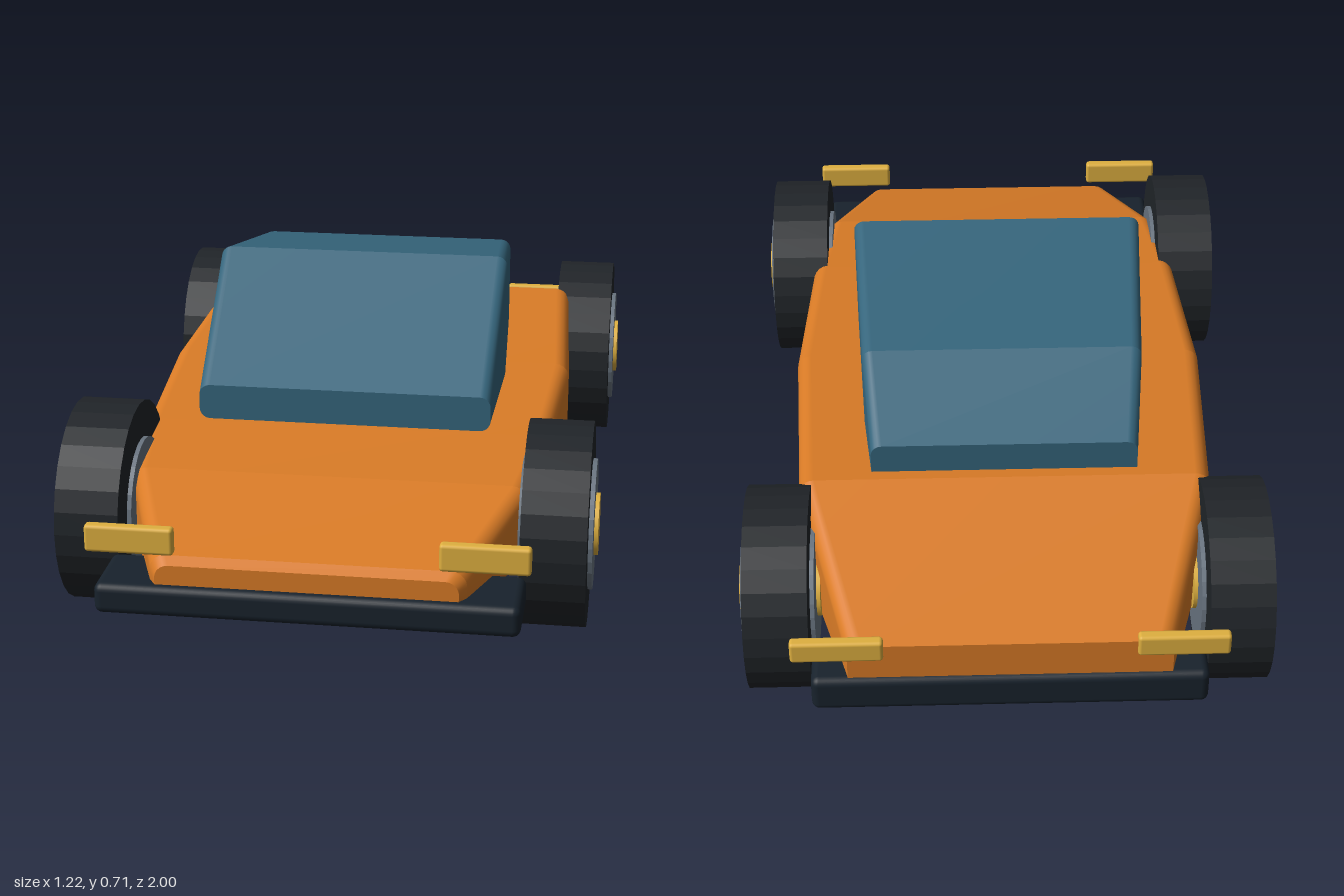
import * as THREE from 'three';
import { RoundedBoxGeometry } from 'three/addons/geometries/RoundedBoxGeometry.js';

const paint = (color, flatShading = false) => new THREE.MeshStandardMaterial({ color, flatShading });
const orange = paint(0xd97b26);
const glass = paint(0x35657c);
const rubber = paint(0x202428, true);
const trim = paint(0x18222c);
const steel = paint(0x697480, true);
const gold = paint(0xdfb040);

function add(parent, name, geometry, material, x = 0, y = 0, z = 0) {
  const mesh = new THREE.Mesh(geometry, material);
  mesh.name = name;
  mesh.position.set(x, y, z);
  parent.add(mesh);
  return mesh;
}

// Rounded rectangle ring, counter-clockwise seen from +z
function ring([z, halfWidth, bottom, top], radius, steps = 5) {
  const r = Math.min(radius, halfWidth, (top - bottom) / 2 - 0.004);
  const corners = [[1, top - r], [-1, top - r], [-1, bottom + r], [1, bottom + r]];
  const points = [];
  corners.forEach(([side, y], c) => {
    for (let i = 0; i <= steps; i++) {
      const a = (c + i / steps) * Math.PI / 2;
      points.push([side * (halfWidth - r) + r * Math.cos(a), y + r * Math.sin(a), z]);
    }
  });
  return points;
}

// Skin over sections [z, halfWidth, bottom, top] from back to front, creased at each section
function loft(sections, radius) {
  const positions = [], index = [];
  const rings = sections.map((s) => ring(s, radius));
  const n = rings[0].length;
  const push = (points) => {
    const start = positions.length / 3;
    points.forEach((p) => positions.push(...p));
    return start;
  };
  for (let i = 0; i < rings.length - 1; i++) {
    const a = push(rings[i]), b = push(rings[i + 1]);
    for (let j = 0; j < n; j++) {
      const k = (j + 1) % n;
      index.push(a + j, a + k, b + k, a + j, b + k, b + j);
    }
  }
  // End caps
  [0, rings.length - 1].forEach((e) => {
    const [z, , bottom, top] = sections[e];
    const centre = push([[0, (bottom + top) / 2, z]]), start = push(rings[e]);
    for (let j = 0; j < n; j++) {
      const p = start + j, q = start + (j + 1) % n;
      index.push(centre, e ? p : q, e ? q : p);
    }
  });
  const geometry = new THREE.BufferGeometry();
  geometry.setAttribute('position', new THREE.Float32BufferAttribute(positions, 3));
  geometry.setIndex(index);
  geometry.computeVertexNormals();
  return geometry;
}

// Tyre, hub and cap run through the wheel, so both faces match
function addWheel(parent, name, x, z) {
  const wheel = new THREE.Group();
  wheel.name = name;
  wheel.position.set(x, 0.233, z);
  const disc = (part, radius, width, material, sides) => {
    add(wheel, part, new THREE.CylinderGeometry(radius, radius, width, sides).rotateZ(Math.PI / 2), material);
  };
  disc('tyre', 0.233, 0.145, rubber, 28);
  disc('hub', 0.148, 0.165, steel, 28);
  disc('hubCap', 0.071, 0.183, gold, 24);
  parent.add(wheel);
}

export function createModel() {
  const car = new THREE.Group();
  car.name = 'car';

  // Wedge body
  add(car, 'body', loft([
    [-0.985, 0.36, 0.16, 0.305],
    [-0.57, 0.475, 0.135, 0.433],
    [-0.04, 0.504, 0.124, 0.393],
    [0.4, 0.482, 0.13, 0.36],
    [0.66, 0.45, 0.135, 0.336],
    [0.955, 0.345, 0.16, 0.253],
    [0.978, 0.33, 0.17, 0.238],
  ], 0.035), orange);

  // Cabin
  add(car, 'cabin', loft([
    [-0.54, 0.308, 0.40, 0.505],
    [-0.34, 0.328, 0.395, 0.63],
    [0.095, 0.353, 0.385, 0.706],
    [0.425, 0.345, 0.375, 0.458],
  ], 0.025), glass);

  // Bumpers
  add(car, 'frontBumper', new RoundedBoxGeometry(0.925, 0.07, 0.18, 3, 0.018), trim, 0, 0.158, 0.908);
  add(car, 'rearBumper', new RoundedBoxGeometry(0.885, 0.09, 0.14, 3, 0.018), trim, 0, 0.168, -0.928);

  for (const [side, s] of [['left', 1], ['right', -1]]) {
    addWheel(car, side + 'FrontWheel', s * 0.518, 0.604);
    addWheel(car, side + 'RearWheel', s * 0.518, -0.705);
    // Lamps
    add(car, side + 'Headlamp', new RoundedBoxGeometry(0.195, 0.062, 0.028, 2, 0.008), gold, s * 0.384, 0.293, 0.97);
    add(car, side + 'TailLamp', new RoundedBoxGeometry(0.205, 0.055, 0.028, 2, 0.008), gold, s * 0.382, 0.294, -0.979);
  }
  return car;
}
